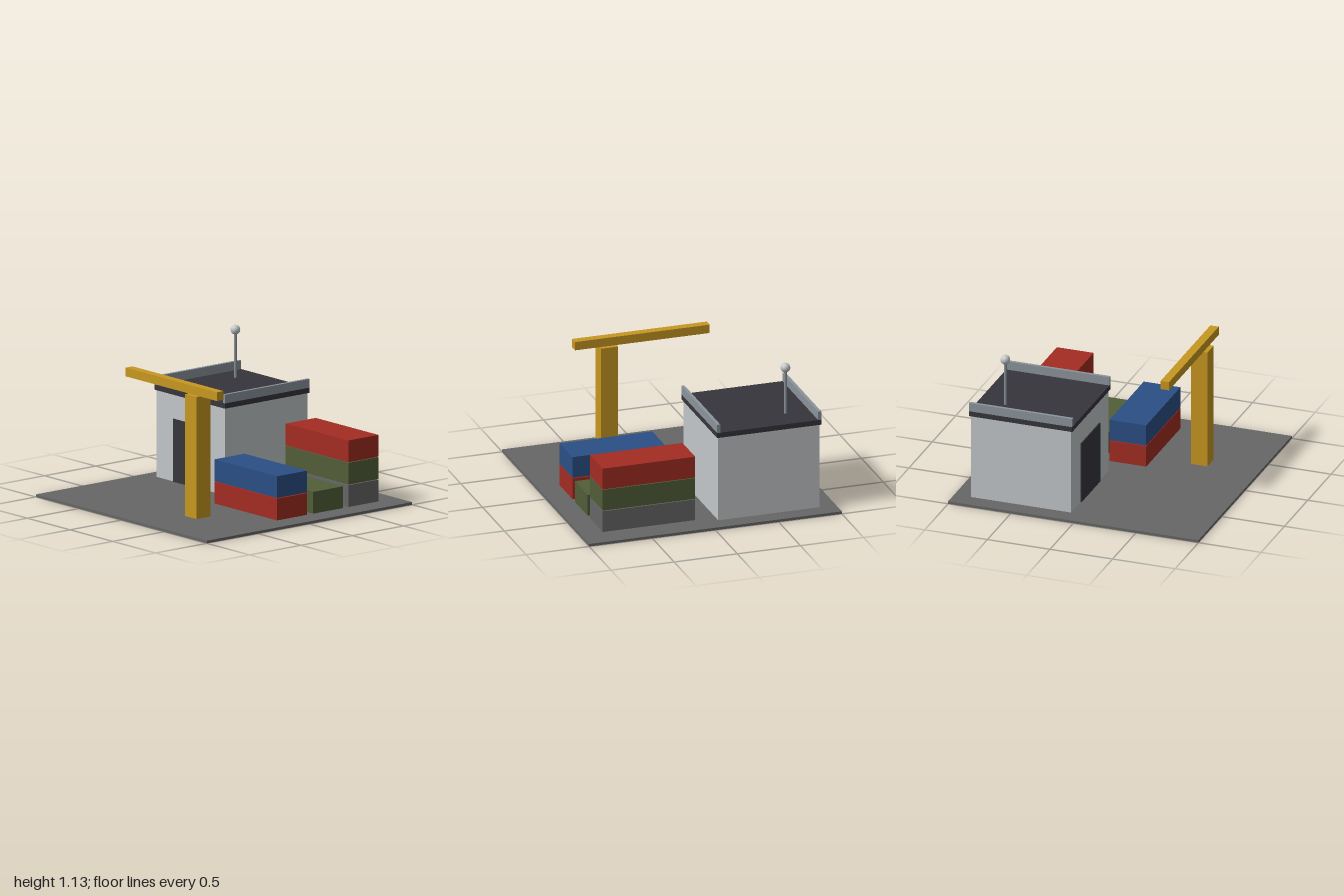
import * as THREE from 'three';

const mat = (name, color) => {
  const m = new THREE.MeshStandardMaterial({ color });
  m.name = name;
  return m;
};

export function createModel() {
  const group = new THREE.Group();
  group.name = 'containerYard';

  const asphalt = mat('asphalt grey', 0x666666);
  const wall = mat('pale wall grey', 0xc3c7c9);
  const dark = mat('dark charcoal', 0x36353c);
  const metal = mat('steel grey', 0x8b949b);
  const red = mat('container red', 0xa32c22);
  const green = mat('container green', 0x525e38);
  const blue = mat('container blue', 0x2b4f85);
  const yellow = mat('crane yellow', 0xc79720);

  const add = (name, geometry, material, x, y, z) => {
    const mesh = new THREE.Mesh(geometry, material);
    mesh.name = name;
    mesh.position.set(x, y, z);
    group.add(mesh);
  };
  // Box given by its size, centre x and z, and the height of its underside
  const box = (name, material, w, h, d, x, bottom, z) =>
    add(name, new THREE.BoxGeometry(w, h, d), material, x, bottom + h / 2, z);

  // Ground slab
  const ground = 0.02;
  box('groundSlab', asphalt, 2, ground, 2, 0, 0, 0);

  // Warehouse with overhanging roof, side parapets and door
  const hx = -0.467, hz = -0.467;
  box('warehouseWalls', wall, 0.8, 0.67, 0.8, hx, ground, hz);
  box('warehouseRoof', dark, 0.825, 0.04, 0.825, hx, 0.69, hz);
  for (const side of [-1, 1])
    box(side < 0 ? 'rightParapet' : 'leftParapet', metal, 0.025, 0.067, 0.825, hx + side * 0.4, 0.73, hz);
  box('warehouseDoor', dark, 0.4, 0.483, 0.009, hx, ground, -0.0625);

  // Antenna mast and ball on the roof
  add('antennaMast', new THREE.CylinderGeometry(0.011, 0.011, 0.36, 12), metal, -0.668, 0.91, -0.667);
  add('antennaBall', new THREE.SphereGeometry(0.037, 16, 12), wall, -0.668, 1.098, -0.667);

  // Container stacks, listed from the bottom up
  const stacks = [
    { z: -0.667, colors: [asphalt, green, red] },
    { z: -0.322, colors: [green] },
    { z: 0.027, colors: [red, blue] },
  ];
  stacks.forEach(({ z, colors }, s) => colors.forEach((material, level) =>
    box(`container${s + 1}Level${level + 1}`, material, 0.733, 0.167, 0.293, 0.463, ground + 0.003 + level * 0.172, z)));

  // Crane post and jib
  box('cranePost', yellow, 0.133, 0.937, 0.133, 0.333, ground, 0.533);
  box('craneJib', yellow, 1.067, 0.067, 0.067, 0.063, 0.957, 0.533);

  return group;
}
